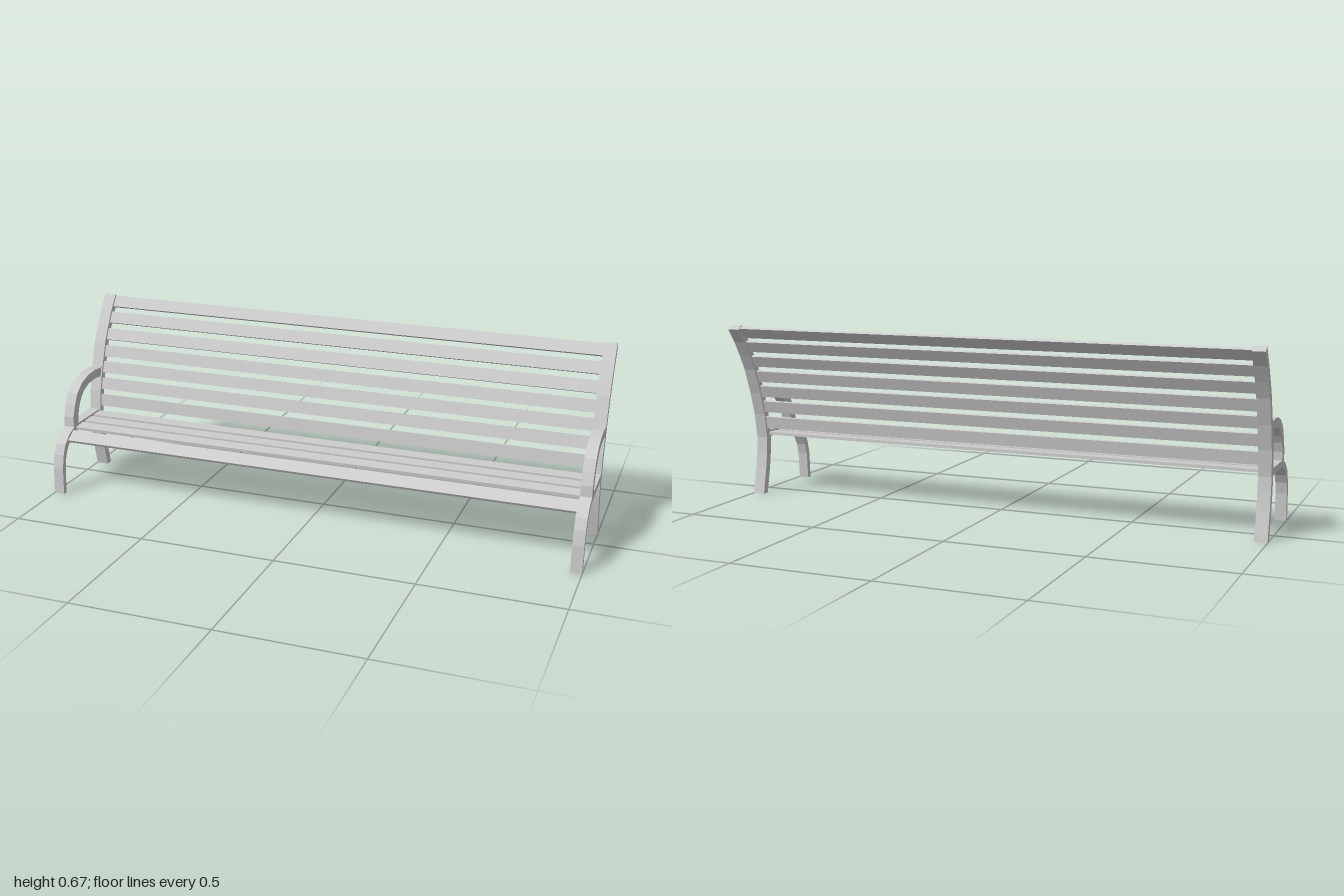
import * as THREE from 'three';

const material = new THREE.MeshStandardMaterial({ color: 0xcccccc, flatShading: true });

// Side profiles as rows of [edgeA z, edgeA y, edgeB z, edgeB y]
const POST = [
  [-0.081, 0, -0.108, 0], [-0.06, 0.1, -0.087, 0.1], [-0.051, 0.16, -0.078, 0.16],
  [-0.048, 0.216, -0.074, 0.216], [-0.051, 0.243, -0.078, 0.243], [-0.062, 0.314, -0.088, 0.309],
  [-0.087, 0.404, -0.112, 0.395], [-0.122, 0.5, -0.146, 0.488], [-0.151, 0.555, -0.176, 0.546],
  [-0.185, 0.613, -0.208, 0.6], [-0.224, 0.666, -0.245, 0.65],
];
const LEG = [
  [0.247, 0, 0.229, 0], [0.242, 0.1, 0.222, 0.1], [0.231, 0.15, 0.212, 0.141],
  [0.213, 0.188, 0.196, 0.171], [0.181, 0.216, 0.169, 0.195], [0.142, 0.234, 0.137, 0.21],
  [0.108, 0.24, 0.104, 0.215], [0.047, 0.241, 0.047, 0.215], [-0.052, 0.243, -0.052, 0.218],
];
const ARM = [
  [0.144, 0.235, 0.108, 0.239], [0.142, 0.273, 0.106, 0.27], [0.126, 0.316, 0.094, 0.304],
  [0.103, 0.357, 0.078, 0.33], [0.063, 0.388, 0.051, 0.355], [0.015, 0.404, 0.012, 0.37],
  [-0.035, 0.409, -0.035, 0.375], [-0.09, 0.405, -0.079, 0.371],
];

// Extrude a curved bar sideways; its outer face lies at x = +1 or -1
function bar(name, rows, width, side) {
  const edgeA = rows.map(r => new THREE.Vector2(r[0], r[1]));
  const edgeB = rows.map(r => new THREE.Vector2(r[2], r[3])).reverse();
  const geometry = new THREE.ExtrudeGeometry(new THREE.Shape([...edgeA, ...edgeB]), {
    depth: width, bevelEnabled: false,
  });
  geometry.rotateY(-Math.PI / 2);
  geometry.translate(side > 0 ? 1 : -1 + width, 0, 0);
  const mesh = new THREE.Mesh(geometry, material);
  mesh.name = name;
  return mesh;
}

// Centre point and slope of a bar where its centreline reaches a given z (axis 0) or y (axis 1)
function onCentreline(rows, axis, value) {
  const mid = rows.map(r => [(r[0] + r[2]) / 2, (r[1] + r[3]) / 2]);
  for (let i = 1; i < mid.length; i++) {
    const a = mid[i - 1], b = mid[i];
    const t = (value - a[axis]) / (b[axis] - a[axis]);
    if (t >= 0 && t <= 1) {
      return { z: a[0] + (b[0] - a[0]) * t, y: a[1] + (b[1] - a[1]) * t };
    }
  }
  return { z: mid.at(-1)[0], y: mid.at(-1)[1] };
}

// Flat board across the bench, lying along the centreline around the given position
function slat(name, rows, axis, centre, half, length) {
  const a = onCentreline(rows, axis, centre - half);
  const b = onCentreline(rows, axis, centre + half);
  const mesh = new THREE.Mesh(new THREE.BoxGeometry(1.93, 0.011, length), material);
  mesh.position.set(0, (a.y + b.y) / 2, (a.z + b.z) / 2);
  mesh.rotation.x = -Math.atan2(b.y - a.y, b.z - a.z);
  mesh.name = name;
  return mesh;
}

export function createModel() {
  const bench = new THREE.Group();
  bench.name = 'bench';

  // End frames
  for (const side of [1, -1]) {
    const frame = new THREE.Group();
    frame.name = side > 0 ? 'leftFrame' : 'rightFrame';
    frame.add(
      bar('rearPost', POST, 0.045, side),
      bar('frontLegAndSeatRail', LEG, 0.04, side),
      bar('armrest', ARM, 0.04, side),
    );
    bench.add(frame);
  }

  // Backrest slats
  [0.277, 0.341, 0.403, 0.463, 0.524, 0.583, 0.638].forEach((y, i) =>
    bench.add(slat(`backSlat${i + 1}`, POST, 1, y, 0.016, 0.045)));

  // Seat slats, the front one following the bend of the leg
  [-0.031, 0.036, 0.102, 0.167].forEach((z, i) =>
    bench.add(slat(`seatSlat${i + 1}`, LEG, 0, z, 0.02, 0.051)));

  return bench;
}
